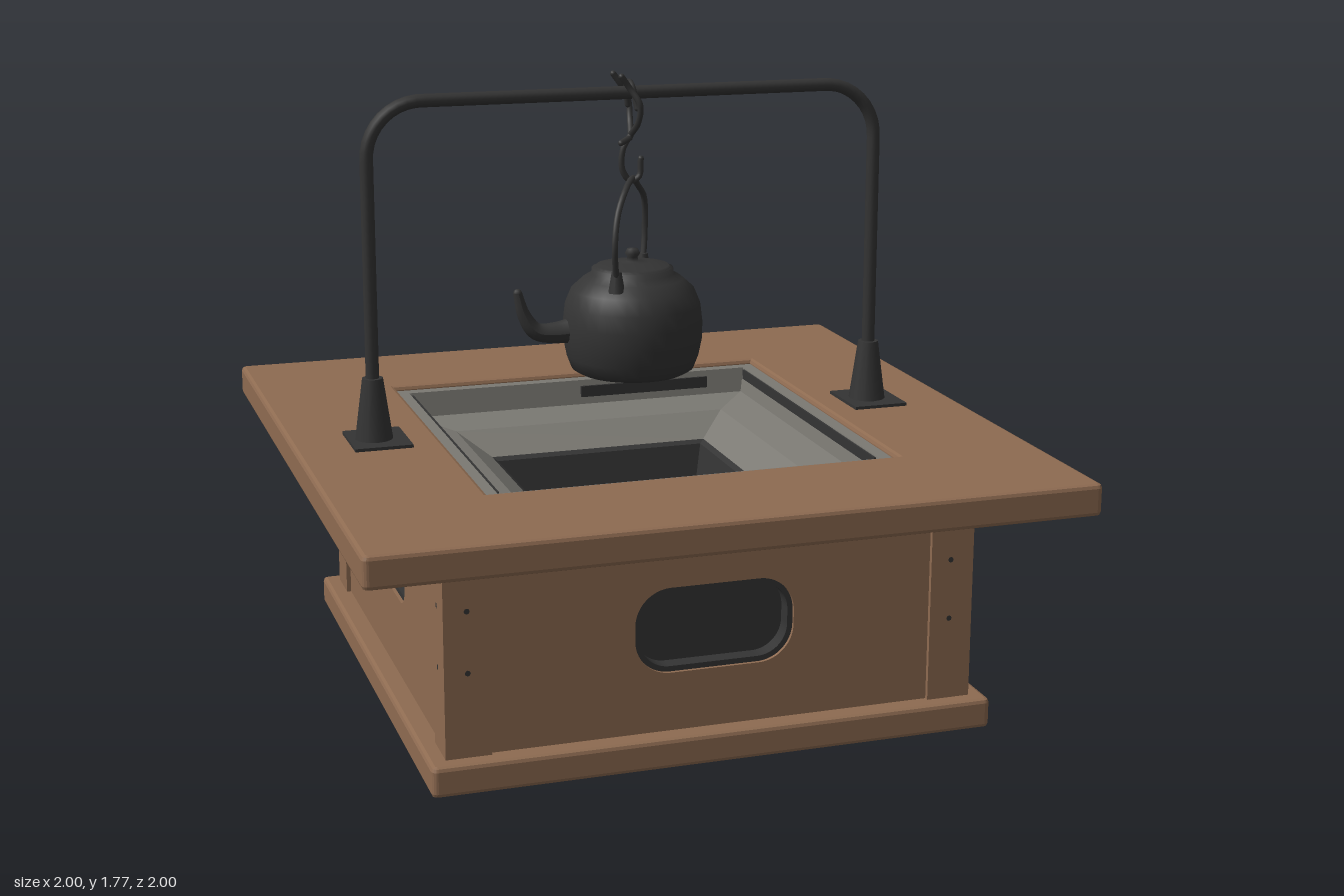
import * as THREE from 'three';

const mat = (name, color) => {
  const m = new THREE.MeshStandardMaterial({ color });
  m.name = name;
  return m;
};

export function createModel() {
  const wood = mat('brown wood', 0x8e6b51);
  const iron = mat('black iron', 0x343434);
  const stone = mat('grey stone', 0x7b7973);
  const root = new THREE.Group();
  root.name = 'hearthTable';

  const V = (x, y, z = 0) => new THREE.Vector3(x, y, z);
  const add = (name, geometry, material, x = 0, y = 0, z = 0, parent = root) => {
    const mesh = new THREE.Mesh(geometry, material);
    mesh.name = name;
    mesh.position.set(x, y, z);
    parent.add(mesh);
    return mesh;
  };
  const box = (name, w, h, d, material, x, y, z, parent) =>
    add(name, new THREE.BoxGeometry(w, h, d), material, x, y, z, parent);

  // Rounded rectangle outline centred on (0, cy)
  const roundRect = (w, h, r, cy = 0, Type = THREE.Shape) => {
    const s = new Type(), x = w / 2, y = h / 2;
    s.absarc(x - r, cy + y - r, r, 0, Math.PI / 2);
    s.absarc(r - x, cy + y - r, r, Math.PI / 2, Math.PI);
    s.absarc(r - x, cy + r - y, r, Math.PI, Math.PI * 1.5);
    s.absarc(x - r, cy + r - y, r, Math.PI * 1.5, Math.PI * 2);
    s.closePath();
    return s;
  };

  // Horizontal square board with softened edges and an optional square hole
  const board = (name, half, y0, y1, hole) => {
    const b = 0.012;
    const shape = roundRect((half - b) * 2, (half - b) * 2, 0.006);
    if (hole) shape.holes.push(roundRect((hole + b) * 2, (hole + b) * 2, 0.006, 0, THREE.Path));
    const g = new THREE.ExtrudeGeometry(shape, {
      depth: y1 - y0 - 2 * b, bevelThickness: b, bevelSize: b, bevelSegments: 2, curveSegments: 2,
    });
    g.rotateX(-Math.PI / 2);
    add(name, g, wood, 0, y0 + b, 0);
  };

  // Square funnel from [half width, height] pairs, listed from the rim inward
  const funnel = (name, profile, material) => {
    const pts = profile.map(([r, y]) => new THREE.Vector2(r * Math.SQRT2, y));
    const g = new THREE.LatheGeometry(pts, 4).rotateY(Math.PI / 4).toNonIndexed();
    g.computeVertexNormals();
    add(name, g, material);
  };

  // Round bar along a smooth path, with rounded ends
  const bar = (name, points, r, parent = root) => {
    const curve = new THREE.CatmullRomCurve3(points);
    add(name, new THREE.TubeGeometry(curve, 32, r, 8), iron, 0, 0, 0, parent);
    for (const p of [points[0], points[points.length - 1]])
      add(name + 'End', new THREE.SphereGeometry(r, 8, 6), iron, p.x, p.y, p.z, parent);
  };

  // Wooden frame
  board('basePlate', 0.795, 0, 0.085);
  board('tableTop', 1, 0.66, 0.75, 0.585);

  // Four walls: large openings front and back, small ones at the sides
  for (let i = 0; i < 4; i++) {
    const wall = new THREE.Group();
    wall.name = 'wall';
    wall.rotation.y = i * Math.PI / 2;
    root.add(wall);
    const [w, h, r, cy] = i % 2 ? [0.42, 0.14, 0.06, 0.385] : [0.45, 0.24, 0.1, 0.37];
    const panel = new THREE.Shape([[-0.63, 0.08], [0.63, 0.08], [0.63, 0.665], [-0.63, 0.665]]
      .map(([x, y]) => new THREE.Vector2(x, y)));
    panel.holes.push(roundRect(w, h, r, cy, THREE.Path));
    add('panel', new THREE.ExtrudeGeometry(panel, { depth: 0.06, bevelEnabled: false }),
      wood, 0, 0, 0.675, wall);
    const liner = roundRect(w, h, r, cy);
    liner.holes.push(roundRect(w - 0.03, h - 0.03, r - 0.015, cy, THREE.Path));
    add('openingLiner', new THREE.ExtrudeGeometry(liner, { depth: 0.05, bevelEnabled: false }),
      iron, 0, 0, 0.675, wall);
    box('openingBack', w + 0.04, h + 0.04, 0.01, iron, 0, cy, 0.675, wall);
    box('cornerPost', 0.125, 0.58, 0.125, wood, 0.6855, 0.373, 0.6855, wall);
    for (const x of [-0.685, 0.68]) for (const y of [0.32, 0.49])
      add('nail', new THREE.CircleGeometry(0.008, 8), iron, x, y, 0.7495, wall);
  }

  // Stone hearth and fire pit
  funnel('hearthLiner', [[0.59, 0.735], [0.548, 0.735], [0.535, 0.66], [0.43, 0.635], [0.34, 0.57]], stone);
  funnel('firePit', [[0.34, 0.57], [0.325, 0.56], [0.28, 0.32], [0, 0.32]], iron);
  box('frontSootStrip', 1.06, 0.06, 0.008, iron, 0, 0.69, 0.537);
  box('backSootStrip', 0.42, 0.035, 0.008, iron, 0.21, 0.7, -0.538);
  for (const s of [-1, 1]) box('sideSootStrip', 0.006, 0.03, 1.06, iron, s * 0.542, 0.718, 0);

  // Hanging rail with feet
  const xl = -0.768, xr = 0.743, top = 1.71, bend = 0.155;
  const rail = new THREE.CurvePath();
  const arc = (a, b, c, d) => rail.add(new THREE.CubicBezierCurve3(a, b, c, d));
  const k = bend * 0.45;
  rail.add(new THREE.LineCurve3(V(xl, 0.8), V(xl, top - bend)));
  arc(V(xl, top - bend), V(xl, top - k), V(xl + k, top), V(xl + bend, top));
  rail.add(new THREE.LineCurve3(V(xl + bend, top), V(xr - bend, top)));
  arc(V(xr - bend, top), V(xr - k, top), V(xr, top - k), V(xr, top - bend));
  rail.add(new THREE.LineCurve3(V(xr, top - bend), V(xr, 0.8)));
  add('rail', new THREE.TubeGeometry(rail, 120, 0.019, 10), iron);
  for (const x of [xl, xr]) {
    box('footPlate', 0.165, 0.012, 0.2, iron, x + (x > 0 ? 0.005 : 0.01), 0.753, 0);
    add('footSocket', new THREE.CylinderGeometry(0.03, 0.055, 0.18, 12), iron, x, 0.845, 0);
  }

  // Hook hanging from the rail
  const hook = new THREE.Group();
  hook.name = 'hook';
  root.add(hook);
  for (const s of [-1, 1])
    bar('hookClaw', [V(-0.045, 1.76, s * 0.04), V(-0.02, 1.725, s * 0.04), V(0.005, 1.68, s * 0.055),
      V(0.005, 1.63, s * 0.04), V(-0.005, 1.59, 0)], 0.009, hook);
  bar('hookOverRail', [V(0, 1.67, 0.045), V(-0.01, 1.73, 0.03), V(-0.01, 1.74, 0),
    V(-0.01, 1.73, -0.03), V(0, 1.67, -0.045)], 0.009, hook);
  bar('hookPin', [V(-0.045, 1.572, 0.035), V(-0.01, 1.58, 0), V(0.005, 1.58, -0.035)], 0.009, hook);
  bar('hookCurl', [V(-0.005, 1.59), V(-0.028, 1.55), V(-0.03, 1.49), V(-0.005, 1.457),
    V(0.02, 1.47), V(0.025, 1.52)], 0.009, hook);

  // Kettle
  const kettle = new THREE.Group();
  kettle.name = 'kettle';
  root.add(kettle);
  const lathe = (name, profile) => add(name, new THREE.LatheGeometry(
    profile.map(([r, y]) => new THREE.Vector2(r, y)), 32), iron, 0, 0, 0, kettle);
  lathe('kettleBody', [[0, 0.9], [0.155, 0.9], [0.178, 0.913], [0.192, 0.95], [0.202, 1.0], [0.203, 1.05],
    [0.197, 1.1], [0.178, 1.145], [0.145, 1.175], [0.12, 1.19], [0.118, 1.205], [0.1, 1.21]]);
  lathe('kettleLid', [[0.112, 1.205], [0.105, 1.213], [0.05, 1.222], [0.016, 1.224],
    [0.015, 1.236], [0.022, 1.247], [0.016, 1.26], [0, 1.263]]);

  // Spout: a tube narrowed toward its tip
  const path = new THREE.CatmullRomCurve3([V(-0.16, 1.035), V(-0.23, 1.028), V(-0.29, 1.036),
    V(-0.325, 1.085), V(-0.343, 1.15)]);
  const spout = new THREE.TubeGeometry(path, 24, 1, 12);
  const pos = spout.attributes.position;
  for (let i = 0; i < pos.count; i++) {
    const t = Math.floor(i / 13) / 24, c = path.getPointAt(t);
    const p = new THREE.Vector3().fromBufferAttribute(pos, i).sub(c);
    p.multiplyScalar(0.042 - 0.029 * Math.pow(t, 0.8)).add(c);
    pos.setXYZ(i, p.x, p.y, p.z);
  }
  spout.computeVertexNormals();
  add('spout', spout, iron, 0, 0, 0, kettle);
  add('spoutTip', new THREE.SphereGeometry(0.013, 10, 8), iron, -0.343, 1.15, 0, kettle);

  // Bail handle set diagonally, with lugs
  bar('handle', [V(-0.085, 1.19, 0.12), V(-0.1, 1.29, 0.152), V(-0.085, 1.38, 0.13), V(-0.05, 1.44, 0.085),
    V(0, 1.464, 0), V(0.04, 1.432, -0.08), V(0.075, 1.385, -0.125), V(0.083, 1.29, -0.143),
    V(0.07, 1.19, -0.12)], 0.009, kettle);
  for (const [x, z] of [[-0.085, 0.12], [0.07, -0.12]])
    add('handleLug', new THREE.CylinderGeometry(0.014, 0.024, 0.06, 10), iron, x, 1.19, z, kettle);

  return root;
}
